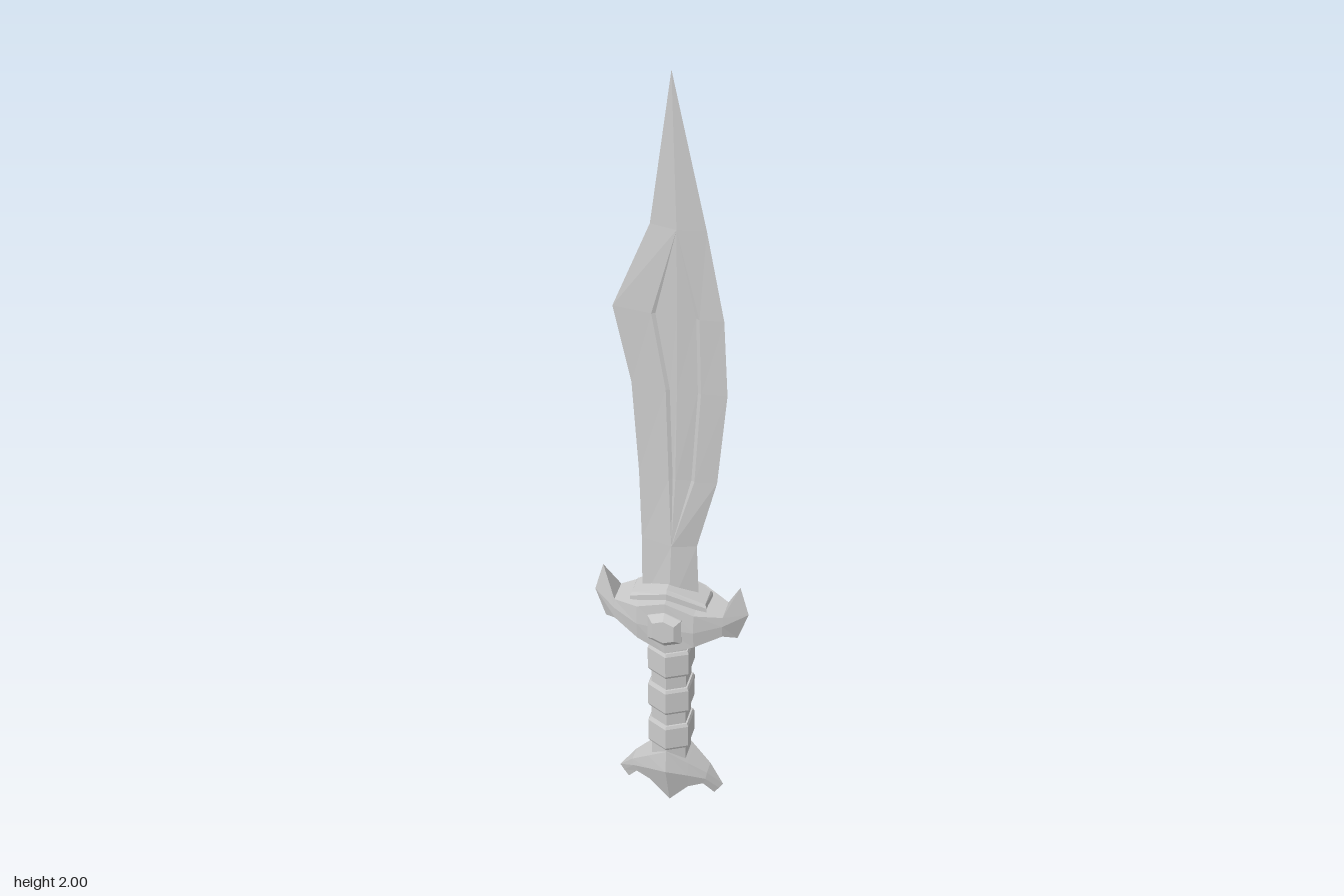
import * as THREE from 'three';

const material = new THREE.MeshStandardMaterial({ color: 0xcccccc, flatShading: true });

// Skins closed rings of points (counter-clockwise seen from the far end) and caps both ends.
function loft(name, rings) {
  const n = rings[0].length, index = [];
  for (let i = 0; i < rings.length - 1; i++) {
    for (let j = 0; j < n; j++) {
      const k = (j + 1) % n;
      const a = i * n + j, b = i * n + k, c = b + n, d = a + n;
      index.push(a, b, c, a, c, d);
    }
  }
  const last = (rings.length - 1) * n;
  for (let j = 1; j < n - 1; j++) {
    index.push(0, j + 1, j, last, last + j, last + j + 1);
  }
  const indexed = new THREE.BufferGeometry();
  indexed.setAttribute('position', new THREE.Float32BufferAttribute(rings.flat(2), 3));
  indexed.setIndex(index);
  const geometry = indexed.toNonIndexed();
  geometry.computeVertexNormals();
  const mesh = new THREE.Mesh(geometry, material);
  mesh.name = name;
  return mesh;
}

// Lofts along x from half a set of sections, mirrored to the other side.
// Each section lists [x, y, z] for its top, middle and bottom front points.
function mirroredLoft(name, sections) {
  const ring = (s, side) => [
    ...s.map(([x, y, z]) => [side * x, y, z]),
    ...[...s].reverse().map(([x, y, z]) => [side * x, y, -z]),
  ];
  const left = [...sections].reverse().map((s) => ring(s, -1));
  const right = sections.slice(1).map((s) => ring(s, 1));
  return loft(name, [...left, ...right]);
}

// Blade: sharp edges, a central ridge and a sunken leaf-shaped panel on both faces.
function createBlade() {
  // y, left edge, panel left, ridge, panel right, right edge, half thickness
  const levels = [
    [0.62, -0.07, 0, 0, 0, 0.067, 0.026],
    [0.81, -0.07, 0.004, 0.004, 0.004, 0.06, 0.017],
    [1.0, -0.075, -0.003, 0.012, 0.055, 0.105, 0.015],
    [1.24, -0.09, -0.01, 0.015, 0.068, 0.125, 0.014],
    [1.43, -0.13, -0.042, 0.015, 0.063, 0.115, 0.014],
    [1.645, -0.046, 0.014, 0.014, 0.014, 0.075, 0.012],
    [2.0, 0, 0, 0, 0, 0, 0],
  ];
  const rings = levels.map(([y, l, pl, c, pr, r, t]) => {
    const panel = pr > pl;
    const bevel = panel ? 0.008 : 0, depth = panel ? 0.004 : 0;
    const zl = l === c ? 0 : (t * (pl - l)) / (c - l);
    const zr = r === c ? 0 : (t * (r - pr)) / (r - c);
    const face = [
      [pl, zl], [pl + bevel, zl - depth], [c, t - depth],
      [pr - bevel, zr - depth], [pr, zr],
    ];
    return [
      [r, y, 0],
      ...[...face].reverse().map(([x, z]) => [x, y, -z]),
      [l, y, 0],
      ...face.map(([x, z]) => [x, y, z]),
    ];
  });
  return loft('blade', rings);
}

// Six-sided grip section with a ridge at front and back.
const gripRing = (y, s) => [
  [0.05, 0.03], [0.05, -0.03], [0, -0.056],
  [-0.05, -0.03], [-0.05, 0.03], [0, 0.056],
].map(([x, z]) => [x * s, y, z * s]);

function createGrip() {
  const grip = new THREE.Group();
  grip.name = 'grip';
  grip.add(loft('gripCore', [gripRing(0.13, 0.85), gripRing(0.58, 0.85)]));
  for (const y of [0.2, 0.317, 0.434]) {
    grip.add(loft('gripBand', [
      gripRing(y, 0.93), gripRing(y + 0.008, 1),
      gripRing(y + 0.07, 1), gripRing(y + 0.078, 0.93),
    ]));
  }
  return grip;
}

function createGuard() {
  const guard = new THREE.Group();
  guard.name = 'guard';
  // Crosspiece ending in upper and lower horns
  guard.add(mirroredLoft('crosspiece', [
    [[0, 0.675, 0.062], [0, 0.6, 0.065], [0, 0.522, 0.06]],
    [[0.068, 0.65, 0.058], [0.068, 0.6, 0.061], [0.068, 0.553, 0.056]],
    [[0.13, 0.635, 0.029], [0.13, 0.61, 0.032], [0.13, 0.578, 0.029]],
    [[0.164, 0.71, 0], [0.185, 0.632, 0], [0.16, 0.556, 0]],
  ]));
  // Peaked collar around the blade
  guard.add(mirroredLoft('collar', [
    [[0, 0.702, 0.042], [0, 0.692, 0.047], [0, 0.6, 0.047]],
    [[0.088, 0.664, 0.026], [0.092, 0.655, 0.03], [0.092, 0.61, 0.03]],
  ]));
  // Faceted boss standing out on both faces
  const boss = (z, s) => [
    [0, -0.05], [0.04, -0.034], [0.04, 0.034],
    [0, 0.05], [-0.04, 0.034], [-0.04, -0.034],
  ].map(([x, y]) => [x * s, 0.6 + y * s, z]);
  guard.add(loft('boss', [
    boss(-0.076, 0.65), boss(-0.064, 1), boss(0.064, 1), boss(0.076, 0.65),
  ]));
  return guard;
}

// Pommel: ridged wedge with a claw on each side.
function createPommel() {
  return mirroredLoft('pommel', [
    [[0, 0.192, 0.05], [0, 0.13, 0.057], [0, 0, 0.018]],
    [[0.05, 0.152, 0.034], [0.05, 0.112, 0.037], [0.048, 0.06, 0.022]],
    [[0.095, 0.115, 0.018], [0.092, 0.095, 0.02], [0.085, 0.074, 0.016]],
    [[0.132, 0.07, 0], [0.122, 0.053, 0], [0.11, 0.035, 0]],
  ]);
}

export function createModel() {
  const model = new THREE.Group();
  model.name = 'shortSword';
  model.add(createBlade(), createGuard(), createGrip(), createPommel());
  return model;
}
